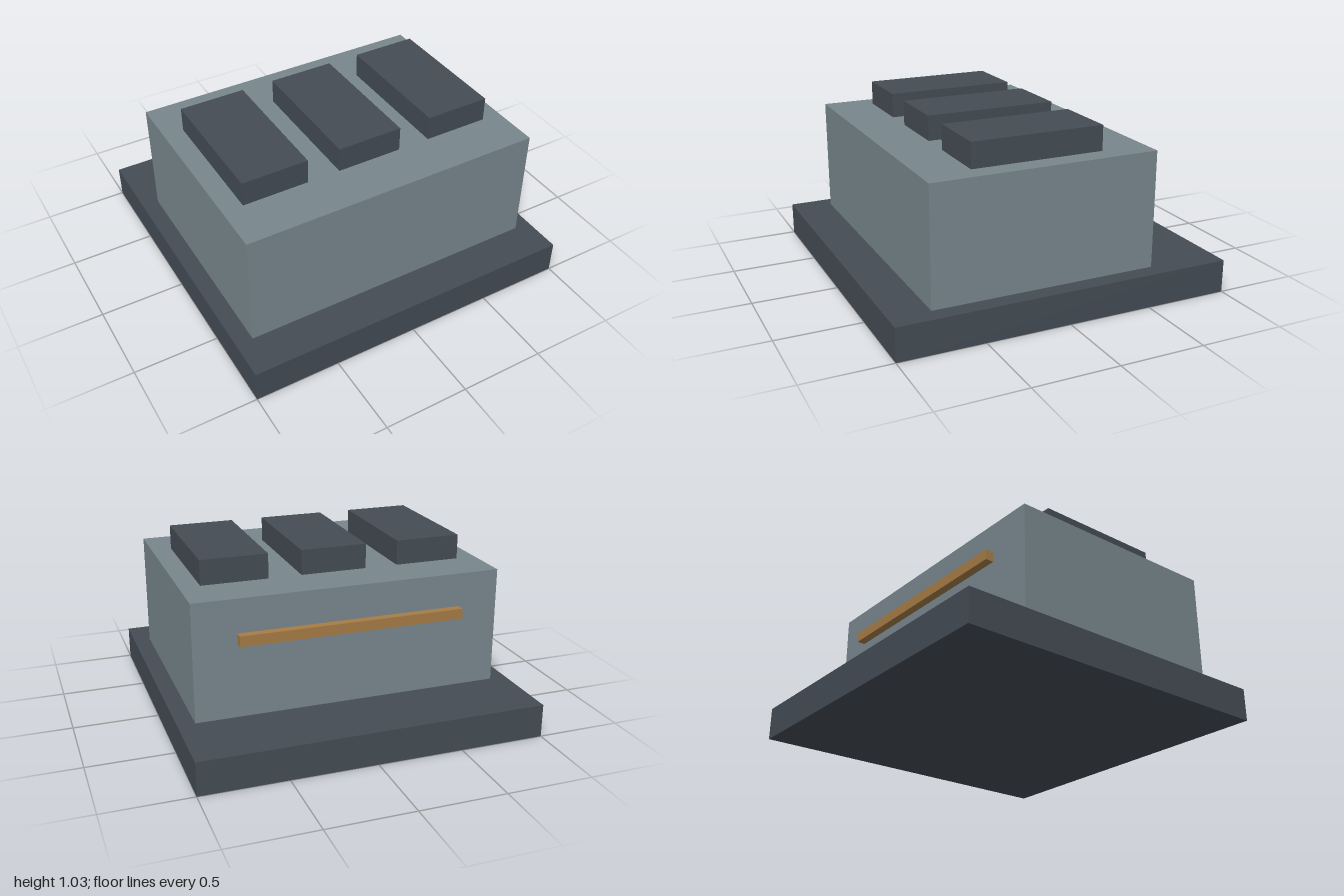
import * as THREE from 'three';

const dark = new THREE.MeshStandardMaterial({ color: 0x444c54 });
const grey = new THREE.MeshStandardMaterial({ color: 0x78878d });
const brass = new THREE.MeshStandardMaterial({ color: 0xa67c45 });

// Box standing on height y, centred on x and z
function block(name, material, [w, h, d], [x, y, z]) {
  const mesh = new THREE.Mesh(new THREE.BoxGeometry(w, h, d), material);
  mesh.name = name;
  mesh.position.set(x, y + h / 2, z);
  return mesh;
}

export function createModel() {
  const model = new THREE.Group();
  model.name = 'blockOnPlinth';

  // Plinth and main body, set slightly forward
  model.add(block('plinth', dark, [2, 0.195, 2], [0, 0, 0]));
  model.add(block('body', grey, [1.8, 0.685, 1.336], [0, 0.195, 0.098]));

  // Three raised blocks on the roof
  ['right', 'middle', 'left'].forEach((side, i) => {
    model.add(block(`${side}RoofBlock`, dark, [0.39, 0.146, 0.78], [(i - 1) * 0.585, 0.88, 0.095]));
  });

  // Rail floating just behind the back wall
  model.add(block('backRail', brass, [1.31, 0.06, 0.049], [0, 0.63, -0.61]));

  return model;
}
